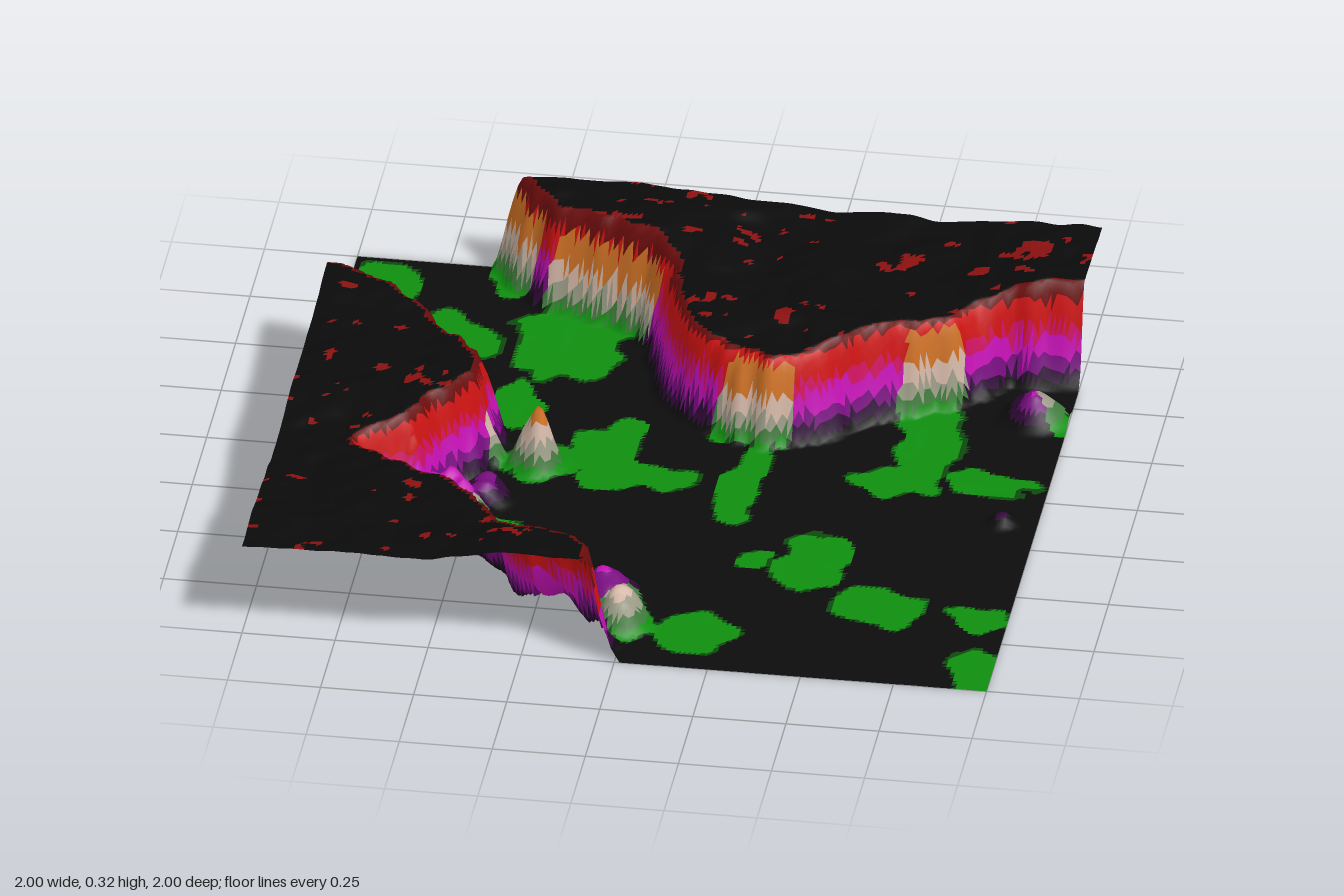
import * as THREE from 'three';

const N = 144; // grid cells per side

// Plateau outlines as [x, z], running past the edge of the tile
const northPlateau = [[1.5, -0.64], [1, -0.64], [0.82, -0.62], [0.7, -0.5], [0.55, -0.42], [0.42, -0.32], [0.3, -0.22],
  [0.2, -0.2], [0.05, -0.27], [-0.05, -0.37], [-0.1, -0.5], [-0.12, -0.62], [-0.18, -0.73], [-0.3, -0.78],
  [-0.45, -0.83], [-0.55, -0.92], [-0.6, -1], [-0.6, -1.5], [1.5, -1.5]];
const westPlateau = [[-1.5, -0.53], [-1, -0.53], [-0.85, -0.49], [-0.7, -0.36], [-0.6, -0.23], [-0.5, -0.13], [-0.49, 0],
  [-0.52, 0.08], [-0.6, 0.15], [-0.64, 0.27], [-0.77, 0.36], [-0.62, 0.44], [-0.5, 0.5], [-0.4, 0.6],
  [-0.33, 0.73], [-0.25, 0.8], [-0.1, 0.84], [-0.05, 0.9], [-0.03, 1], [-0.03, 1.5], [-1.5, 1.5]];

// Plateau heights as [x, z, y]
const levels = [[-1, 1, 0.27], [-0.2, 0.93, 0.31], [-0.5, 0.7, 0.26], [-0.9, 0.4, 0.24], [-0.55, 0, 0.27], [-1, 0, 0.27],
  [-1, -0.5, 0.28], [-0.45, -0.95, 0.29], [-0.2, -0.82, 0.3], [0.2, -0.28, 0.245], [0.2, -0.7, 0.25],
  [1, -1, 0.28], [1, -0.7, 0.28], [0.6, -0.75, 0.245], [0, -0.5, 0.26]];

// Rubble mounds as [x, z, radius, height]
const mounds = [[-0.37, 0, 0.08, 0.17], [-0.57, 0.3, 0.14, 0.13], [-0.47, 0.2, 0.08, 0.1], [-0.06, 0.68, 0.11, 0.1],
  [-0.2, 0.75, 0.1, 0.12], [-0.01, 0.8, 0.08, 0.16], [0.91, -0.44, 0.1, 0.09], [0.91, 0.12, 0.05, 0.03]];

// Grass patches as [x, z, half width, half depth]
const patches = [[-0.9, -0.87, 0.12, 0.12], [-0.72, -0.62, 0.18, 0.13], [-0.37, -0.62, 0.14, 0.19], [-0.32, -0.73, 0.2, 0.07],
  [-0.46, -0.3, 0.07, 0.15], [-0.2, -0.1, 0.1, 0.13], [-0.1, 0.02, 0.17, 0.08], [-0.15, -0.22, 0.06, 0.06],
  [0.2, 0.03, 0.06, 0.21], [0.65, -0.25, 0.1, 0.24], [0.58, -0.05, 0.12, 0.08], [0.85, -0.07, 0.14, 0.06],
  [0.45, 0.4, 0.11, 0.14], [0.28, 0.42, 0.06, 0.04], [0.65, 0.61, 0.14, 0.1], [0.91, 0.64, 0.09, 0.06],
  [0.18, 0.82, 0.13, 0.11], [-0.4, 0.4, 0.07, 0.11], [0.95, 0.92, 0.08, 0.12], [-0.37, 0, 0.11, 0.1],
  [0, 0.8, 0.08, 0.1], [0.18, -0.2, 0.12, 0.05], [-0.55, -0.95, 0.08, 0.09], [0.98, -0.42, 0.05, 0.05]];

const colours = {
  bareGround: 0x0c0c0c, grass: 0x0f8f10, grassEdge: 0x0c4a0d,
  cliffFoot: 0x300838, cliffLow: 0x780c80, cliffMiddle: 0xc410b4, cliffBlend: 0xcc1060, cliffUpper: 0xcc1212, cliffRim: 0x6a0c0c,
  mossFoot: 0x3f7a3c, mossLow: 0x9a9a86, mossMiddle: 0xd0b4a4, mossUpper: 0xcc7024, plateau: 0x0a0a0a, redFleck: 0x8a1010,
};

const smooth = THREE.MathUtils.smoothstep;
const hash = (i, j) => {
  const s = Math.sin(i * 127.1 + j * 311.7) * 43758.5453;
  return s - Math.floor(s);
};
// Value noise from -1 to 1
function noise(x, y) {
  const i = Math.floor(x), j = Math.floor(y), u = smooth(x - i, 0, 1), v = smooth(y - j, 0, 1);
  const mix = THREE.MathUtils.lerp;
  return 2 * mix(mix(hash(i, j), hash(i + 1, j), u), mix(hash(i, j + 1), hash(i + 1, j + 1), u), v) - 1;
}

// Signed distance to an outline, positive inside
function inside(poly, x, z) {
  let best = Infinity, within = false;
  poly.forEach(([ax, az], k) => {
    const [bx, bz] = poly[(k + 1) % poly.length];
    const dx = bx - ax, dz = bz - az;
    const t = THREE.MathUtils.clamp(((x - ax) * dx + (z - az) * dz) / (dx * dx + dz * dz), 0, 1);
    best = Math.min(best, Math.hypot(x - ax - t * dx, z - az - t * dz));
    if ((az > z) !== (bz > z) && x < ax + (z - az) / dz * dx) within = !within;
  });
  return within ? best : -best;
}

function plateauHeight(x, z) {
  let sum = 0, total = 0;
  for (const [px, pz, y] of levels) {
    const w = 1 / ((x - px) ** 2 + (z - pz) ** 2 + 0.01) ** 1.5;
    sum += w * y;
    total += w;
  }
  return sum / total + 0.009 * noise(x * 7 + 3, z * 7) + 0.005 * noise(x * 18, z * 18 + 5);
}

function height(x, z) {
  const d = Math.max(inside(northPlateau, x, z), inside(westPlateau, x, z)) + 0.014 * noise(x * 22, z * 22);
  let y = plateauHeight(x, z) * smooth(d, -0.045, 0.045);
  for (const [mx, mz, r, h] of mounds) {
    const q = Math.hypot(x - mx, z - mz) / r;
    const rough = 0.85 + 0.4 * noise(x * 20 + 9, z * 20);
    y = Math.max(y, Math.min(h * 1.1, h * rough * (1 - smooth(q, 0.1, 1.15))));
  }
  return Math.max(0, y + 0.002 * noise(x * 15, z * 15) - 0.001);
}

// Above zero inside a ragged grass patch
function grassAt(x, z) {
  const wx = x + 0.035 * noise(x * 14, z * 14), wz = z + 0.035 * noise(x * 14 + 40, z * 14);
  return Math.max(...patches.map(([px, pz, a, b]) => 1 - Math.hypot((wx - px) / a, (wz - pz) / b)));
}

// Ground type from height, steepness and grass cover
function groundType(x, y, z, up) {
  const green = grassAt(x, z);
  const fleck = noise(x * 13, z * 24) + 0.5 * noise(x * 40, z * 40) > 0.75;
  if (y > 0.2 && up > 0.8) return up < 0.9 ? 'cliffRim' : fleck ? 'redFleck' : 'plateau';
  if (y < 0.022) return green > 0.08 ? 'grass' : green > 0 ? 'grassEdge' : 'bareGround';
  const moss = green > -0.12;
  if (y < 0.05) return moss ? 'mossFoot' : 'cliffFoot';
  if (y < 0.085) return moss ? 'mossLow' : 'cliffLow';
  if (y < 0.135) return moss ? 'mossMiddle' : 'cliffMiddle';
  if (y < 0.165) return moss ? 'mossUpper' : 'cliffBlend';
  if (y < 0.235) return moss && y < 0.22 ? 'mossUpper' : 'cliffUpper';
  return 'cliffRim';
}

export function createModel() {
  const group = new THREE.Group();
  group.name = 'terrain';

  // Whole height field, for shared smooth normals
  const points = [], faces = [];
  for (let j = 0; j <= N; j++) {
    for (let i = 0; i <= N; i++) {
      const x = -1 + 2 * i / N, z = -1 + 2 * j / N;
      points.push(x, height(x, z), z);
      if (i < N && j < N) {
        const a = j * (N + 1) + i, b = a + N + 1;
        faces.push([a, b, a + 1], [a + 1, b, b + 1]);
      }
    }
  }
  const field = new THREE.BufferGeometry();
  field.setAttribute('position', new THREE.Float32BufferAttribute(points, 3));
  field.setIndex(faces.flat());
  field.computeVertexNormals();

  // Sort the faces by ground type
  const sorted = {};
  const normal = field.attributes.normal;
  for (const f of faces) {
    const mean = k => (points[f[0] * 3 + k] + points[f[1] * 3 + k] + points[f[2] * 3 + k]) / 3;
    const up = (normal.getY(f[0]) + normal.getY(f[1]) + normal.getY(f[2])) / 3;
    (sorted[groundType(mean(0), mean(1), mean(2), up)] ??= []).push(f);
  }

  // One mesh per ground type
  for (const [name, list] of Object.entries(sorted)) {
    const source = new THREE.BufferGeometry();
    source.setAttribute('position', field.attributes.position);
    source.setAttribute('normal', normal);
    source.setIndex(list.flat());
    const material = new THREE.MeshStandardMaterial({ color: colours[name], side: THREE.DoubleSide });
    const mesh = new THREE.Mesh(source.toNonIndexed(), material);
    mesh.name = name;
    group.add(mesh);
  }
  return group;
}
